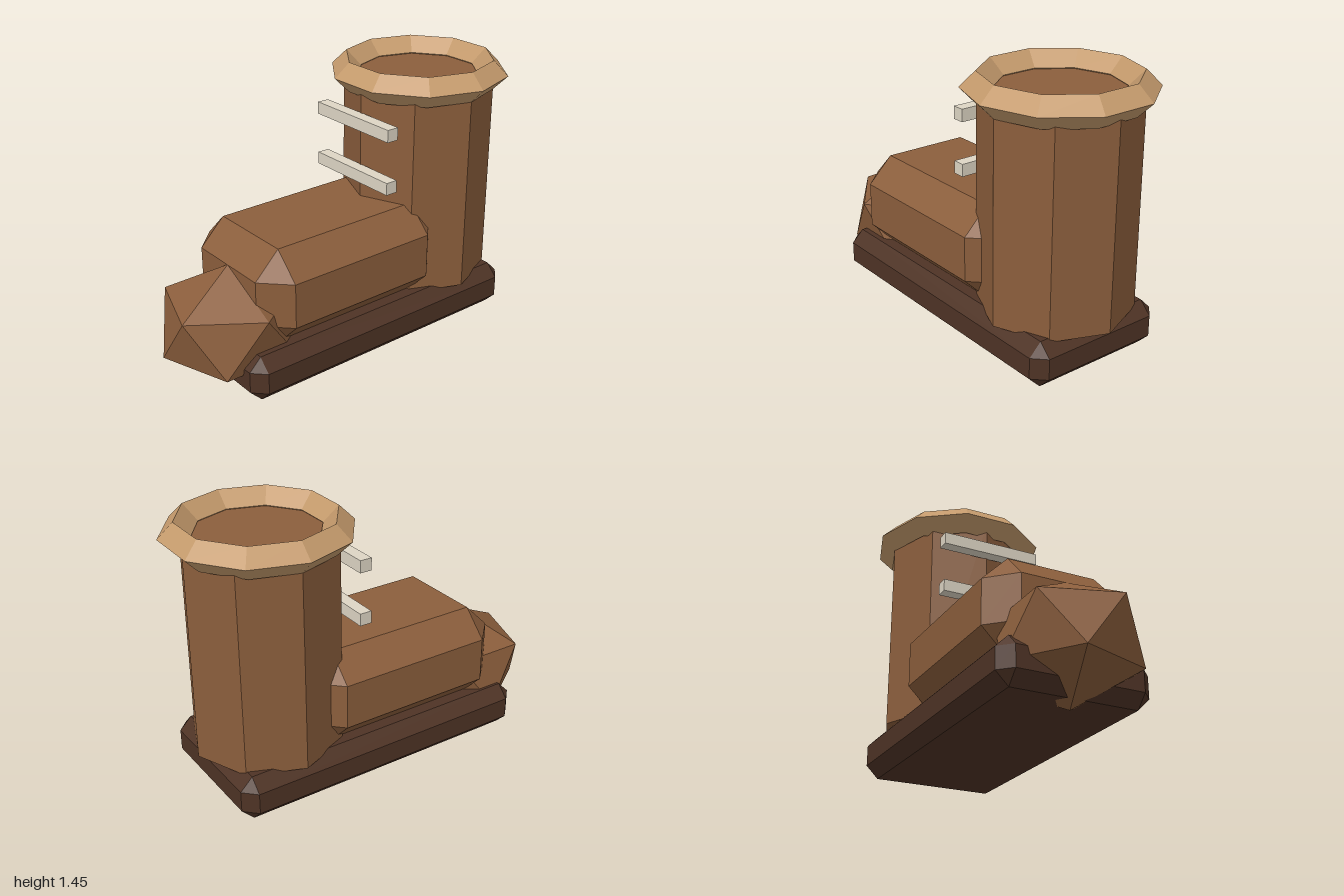
import * as THREE from 'three';
import { ConvexGeometry } from 'three/addons/geometries/ConvexGeometry.js';

const material = (color) => new THREE.MeshStandardMaterial({ color, flatShading: true });

// Box between two corners with every edge cut by the bevel c
function bevelBox(min, max, c) {
  const mid = min.map((v, i) => (v + max[i]) / 2);
  const half = min.map((v, i) => (max[i] - v) / 2);
  const points = [];
  for (const sx of [-1, 1]) for (const sy of [-1, 1]) for (const sz of [-1, 1]) {
    const s = [sx, sy, sz];
    for (let full = 0; full < 3; full++) {
      points.push(new THREE.Vector3(
        ...s.map((sign, i) => mid[i] + sign * (half[i] - (i === full ? 0 : c)))));
    }
  }
  return new ConvexGeometry(points);
}

export function createModel() {
  const group = new THREE.Group();
  const leather = material(0x8b5e3c);
  const soleBrown = material(0x4e3325);
  const cuffTan = material(0xc49a6c);
  const laceWhite = material(0xddd5c4);
  const shaftZ = -0.555;

  const add = (name, geometry, mat, x = 0, y = 0, z = 0) => {
    const mesh = new THREE.Mesh(geometry, mat);
    mesh.name = name;
    mesh.position.set(x, y, z);
    group.add(mesh);
    return mesh;
  };

  // Sole and foot: bevelled blocks
  add('sole', bevelBox([-0.39, 0.04, -0.89], [0.39, 0.28, 0.78], 0.065), soleBrown);
  add('foot', bevelBox([-0.37, 0.255, -0.445], [0.37, 0.76, 0.67], 0.135), leather);

  // Toe cap: icosahedron standing on a point, slightly squashed
  const toe = new THREE.IcosahedronGeometry(0.39, 0);
  toe.rotateZ(-Math.atan(2 / (1 + Math.sqrt(5))));
  toe.scale(0.96, 0.8, 1);
  add('toe', toe, leather, 0, 0.315, 0.667);

  // Eight-sided shaft
  add('shaft', new THREE.CylinderGeometry(0.39, 0.39, 1.105, 8), leather, 0, 0.8125, shaftZ);

  // Ten-sided cuff with a diamond section
  const cuff = new THREE.TorusGeometry(0.388, 0.078, 4, 10);
  cuff.rotateX(Math.PI / 2);
  add('cuff', cuff, cuffTan, 0, 1.371, shaftZ);

  // Lace bars across the front of the shaft
  for (const y of [0.903, 1.183]) {
    add('lace', new THREE.BoxGeometry(0.55, 0.065, 0.065), laceWhite, 0, y, -0.138);
  }

  return group;
}
